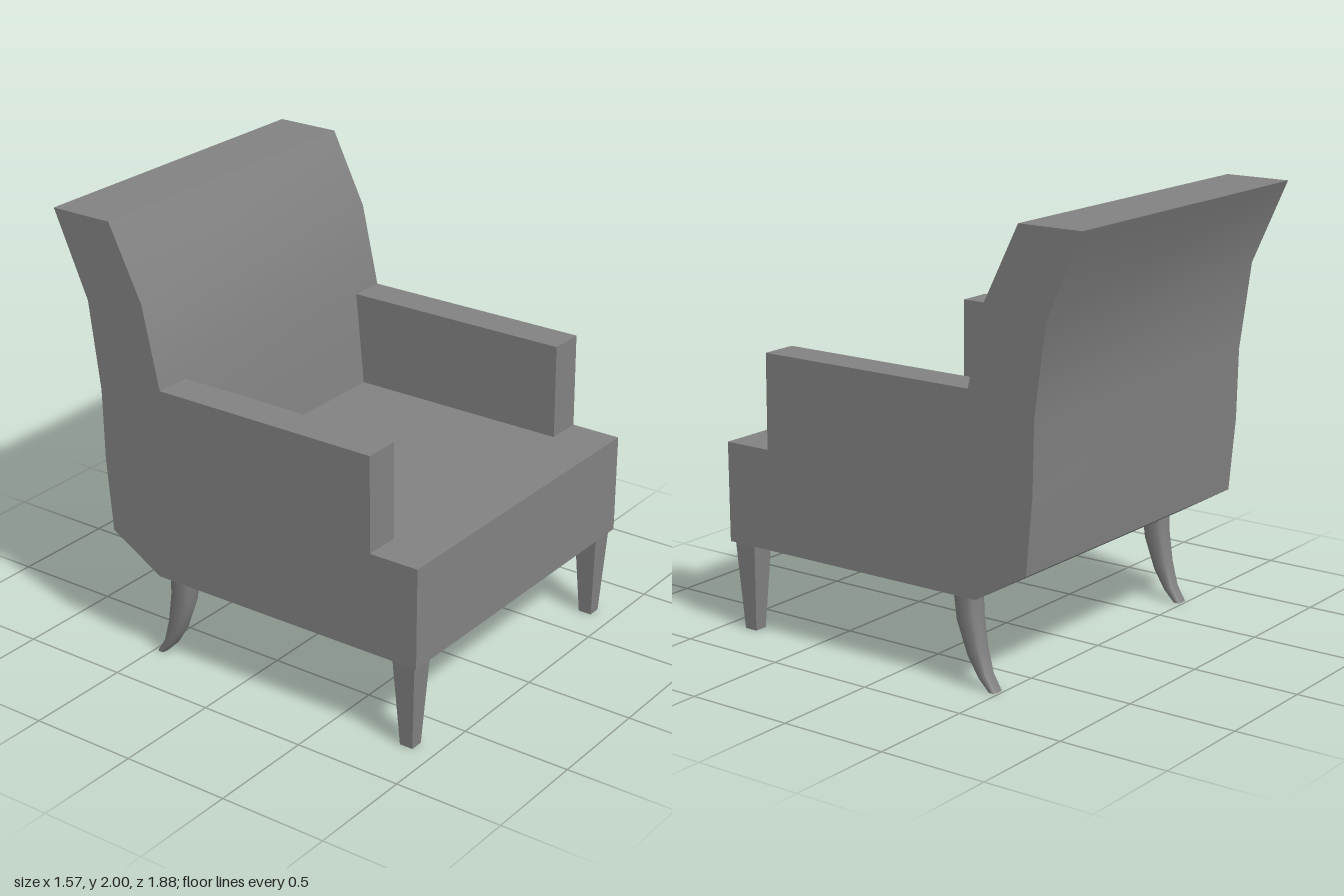
import * as THREE from 'three';
import { toCreasedNormals } from 'three/addons/utils/BufferGeometryUtils.js';

const material = new THREE.MeshStandardMaterial({ color: 0x828282 });

function part(name, geometry) {
  const mesh = new THREE.Mesh(toCreasedNormals(geometry, 0.7), material);
  mesh.name = name;
  return mesh;
}

// Extrudes a side profile of [z, y] points across x, centred on x = 0
function sidePanel(points, width) {
  const shape = new THREE.Shape(points.map(([z, y]) => new THREE.Vector2(z, y)));
  return new THREE.ExtrudeGeometry(shape, { depth: width, bevelEnabled: false })
    .translate(0, 0, -width / 2)
    .rotateY(-Math.PI / 2);
}

// Swells a round section towards a square with soft corners; a square one stays as it is
const swell = (v) => Math.sign(v) * Math.abs(2 * v) ** 0.6;

// Fits a unit box or cylinder to stations, bottom to top:
// [y front, z front, y back, z back, half width]
function shapeLeg(geometry, stations) {
  const pos = geometry.attributes.position;
  for (let i = 0; i < pos.count; i++) {
    const row = Math.round((pos.getY(i) + 0.5) * (stations.length - 1));
    const [yf, zf, yb, zb, half] = stations[row];
    const t = (swell(pos.getZ(i)) + 1) / 2;
    pos.setXYZ(i, swell(pos.getX(i)) * half,
      THREE.MathUtils.lerp(yb, yf, t), THREE.MathUtils.lerp(zb, zf, t));
  }
  return geometry;
}

export function createModel() {
  const chair = new THREE.Group();
  chair.name = 'armchair';

  // Seat and raked back in one piece
  chair.add(part('seatAndBack', sidePanel([
    [0.94, 0.41], [0.94, 0.867], [-0.34, 0.867], [-0.385, 1.3], [-0.47, 1.67], [-0.635, 2],
    [-0.94, 2], [-0.77, 1.62], [-0.715, 1.22], [-0.708, 0.9], [-0.677, 0.56], [-0.42, 0.41],
  ], 1.57)));

  const armProfile = [[0.707, 0.867], [0.703, 1.3], [-0.385, 1.3], [-0.34, 0.867]];
  const frontLeg = [
    [0, 0.9, 0, 0.837, 0.031],
    [0.41, 0.922, 0.41, 0.812, 0.056],
  ];
  // Sabre-curved rear leg
  const rearLeg = [
    [0, -0.45, 0, -0.488, 0.031],
    [0.05, -0.4, 0.07, -0.445, 0.035],
    [0.14, -0.345, 0.18, -0.415, 0.042],
    [0.29, -0.293, 0.33, -0.391, 0.052],
    [0.41, -0.28, 0.41, -0.389, 0.057],
  ];

  for (const [side, s] of [['left', 1], ['right', -1]]) {
    const arm = part(side + 'Arm', sidePanel(armProfile, 0.168));
    arm.position.x = s * 0.701;
    const front = part(side + 'FrontLeg', shapeLeg(new THREE.BoxGeometry(1, 1, 1), frontLeg));
    const rear = part(side + 'RearLeg',
      shapeLeg(new THREE.CylinderGeometry(0.5, 0.5, 1, 16, rearLeg.length - 1), rearLeg));
    front.position.x = rear.position.x = s * 0.715;
    chair.add(arm, front, rear);
  }
  return chair;
}
